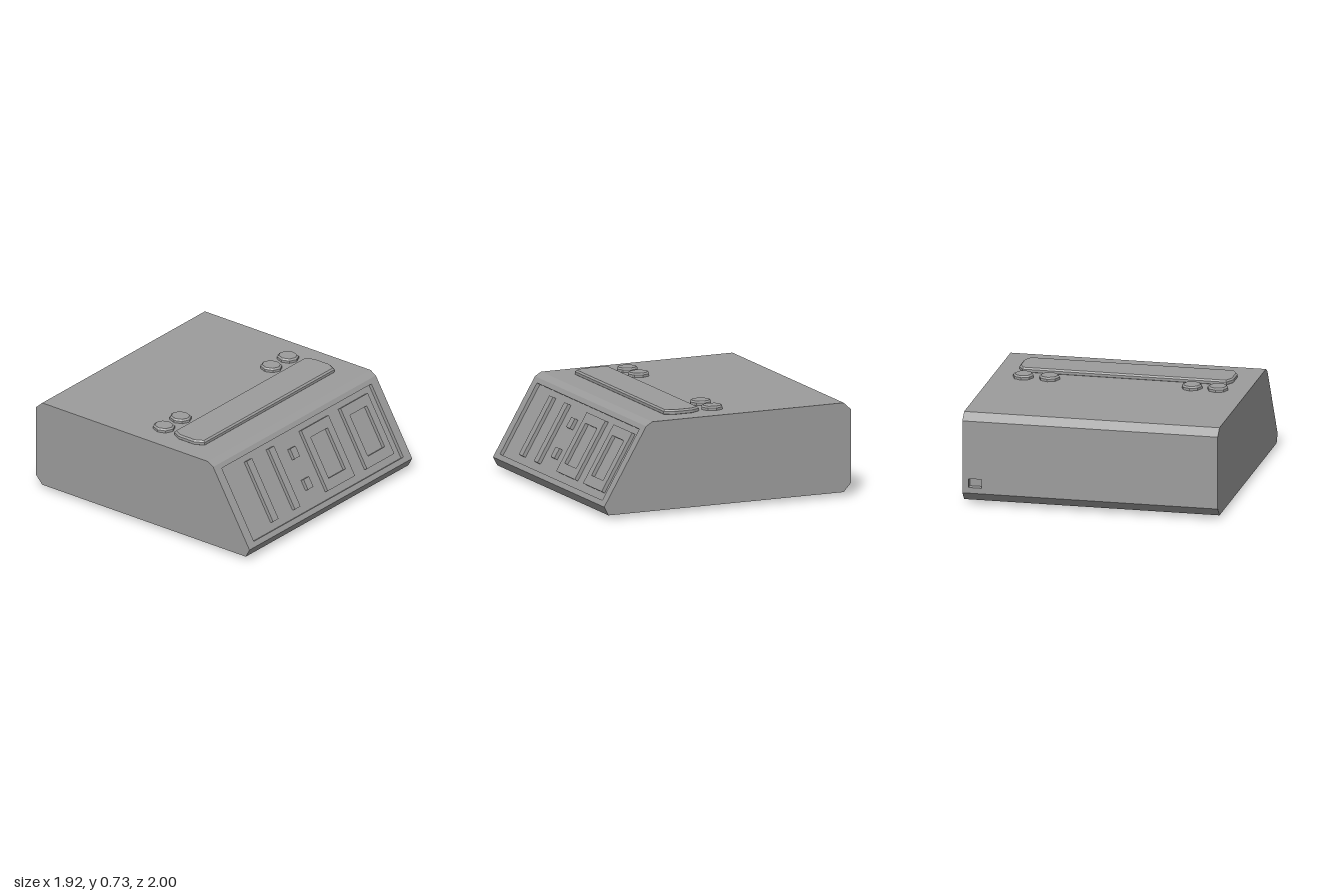
import * as THREE from 'three';

const material = new THREE.MeshStandardMaterial({ color: 0x9c9c9c, flatShading: true });
const WIDTH = 1.92;

function addMesh(parent, name, geometry, x = 0, y = 0, z = 0) {
  const mesh = new THREE.Mesh(geometry, material);
  mesh.name = name;
  mesh.position.set(x, y, z);
  parent.add(mesh);
  return mesh;
}

const polygon = (pts) => new THREE.Shape(pts.map(([x, y]) => new THREE.Vector2(x, y)));
const rectangle = ([x0, x1, y0, y1]) => polygon([[x0, y0], [x1, y0], [x1, y1], [x0, y1]]);

// Remove the faces that point along any of the given normals
function dropFaces(geometry, normals) {
  const source = geometry.index ? geometry.toNonIndexed() : geometry;
  const position = source.attributes.position;
  const kept = [];
  const tri = new THREE.Triangle(), n = new THREE.Vector3();
  for (let i = 0; i < position.count; i += 3) {
    tri.setFromAttributeAndIndices(position, i, i + 1, i + 2);
    tri.getNormal(n);
    if (!normals.some((d) => n.dot(d) > 0.99)) kept.push(tri.a.clone(), tri.b.clone(), tri.c.clone());
  }
  const result = new THREE.BufferGeometry().setFromPoints(kept);
  result.computeVertexNormals();
  return result;
}

// Open box whose faces point inwards
function pocketGeometry(w, h, depth) {
  const geometry = dropFaces(new THREE.BoxGeometry(w, h, depth), [new THREE.Vector3(0, 0, 1)]);
  const a = geometry.attributes.position, p = new THREE.Vector3(), q = new THREE.Vector3();
  for (let i = 0; i < a.count; i += 3) {
    p.fromBufferAttribute(a, i + 1);
    q.fromBufferAttribute(a, i + 2);
    a.setXYZ(i + 1, q.x, q.y, q.z);
    a.setXYZ(i + 2, p.x, p.y, p.z);
  }
  geometry.computeVertexNormals();
  return geometry;
}

// Flat face with a rectangular recess, facing local +z
function recessedPanel(name, w, h, hole, depth) {
  const group = new THREE.Group();
  group.name = name;
  const [x0, x1, y0, y1] = hole;
  const frame = rectangle([-w / 2, w / 2, -h / 2, h / 2]);
  frame.holes.push(rectangle(hole));
  addMesh(group, name + 'Frame', new THREE.ShapeGeometry(frame));
  addMesh(group, name + 'Recess', pocketGeometry(x1 - x0, y1 - y0, depth),
    (x0 + x1) / 2, (y0 + y1) / 2, -depth / 2);
  return group;
}

// Low raised pad with a bevelled top rim, outline in x and z
function padGeometry(points) {
  const geometry = new THREE.ExtrudeGeometry(polygon(points), {
    depth: 0.02, bevelThickness: 0.012, bevelSize: 0.012, bevelOffset: -0.012, bevelSegments: 1,
  });
  return geometry.rotateX(-Math.PI / 2);
}

export function createModel() {
  const model = new THREE.Group();
  model.name = 'deskClock';

  // Case: side profile (z, y) swept across the width, front and back left open
  const profile = [[1, 0.095], [0.66, 0.67], [0.61, 0.7], [-0.94, 0.7],
    [-1, 0.645], [-1, 0.095], [-0.94, 0.03], [0.965, 0.03]];
  const tilt = Math.atan2(0.34, 0.575);
  const sweep = new THREE.ExtrudeGeometry(polygon(profile), { depth: WIDTH, bevelEnabled: false });
  sweep.translate(0, 0, -WIDTH / 2).rotateY(-Math.PI / 2);
  addMesh(model, 'case', dropFaces(sweep, [
    new THREE.Vector3(0, Math.sin(tilt), Math.cos(tilt)), new THREE.Vector3(0, 0, -1)]));

  // Slanted display panel; v turns a height into a distance along the slope
  const depth = 0.028, midY = 0.3825;
  const v = (y) => (y - midY) / Math.cos(tilt);
  const display = recessedPanel('display', WIDTH, Math.hypot(0.34, 0.575),
    [-0.883, 0.883, v(0.13), v(0.637)], depth);
  display.position.set(0, midY, 0.83);
  display.rotation.x = -tilt;
  model.add(display);

  // Raised display segments: bars, separator dots and open frames
  function segment(name, x0, x1, y0, y1, hole) {
    const shape = rectangle([x0, x1, v(y0), v(y1)]);
    if (hole) shape.holes.push(rectangle([hole[0], hole[1], v(hole[2]), v(hole[3])]));
    addMesh(display, name, new THREE.ExtrudeGeometry(shape, { depth, bevelEnabled: false }), 0, 0, -depth);
  }
  for (const x of [-0.619, -0.36]) segment('displayBar', x, x + 0.064, 0.178, 0.597);
  for (const y of [0.247, 0.459]) segment('displayDot', -0.156, -0.092, y, y + 0.071);
  for (const x of [0.026, 0.489]) {
    segment('displayOpenFrame', x, x + 0.322, 0.178, 0.597, [x + 0.062, x + 0.26, 0.246, 0.53]);
  }

  // Back panel with the power socket
  const back = recessedPanel('backPanel', WIDTH, 0.55, [-0.915, -0.815, -0.232, -0.165], 0.05);
  back.position.set(0, 0.37, -1);
  back.rotation.y = Math.PI;
  model.add(back);

  // Long top button with clipped corners
  const w = 0.804, h = 0.142, cx = 0.037, cz = 0.07;
  addMesh(model, 'longTopButton', padGeometry([
    [-w, -h + cz], [-w + cx, -h], [w - cx, -h], [w, -h + cz],
    [w, h - cz], [w - cx, h], [-w + cx, h], [-w, h - cz]]), 0, 0.702, 0.285);

  // Eight-sided round buttons
  const octagon = Array.from({ length: 8 }, (_, i) =>
    [0.077 * Math.cos(i * Math.PI / 4), 0.083 * Math.sin(i * Math.PI / 4)]);
  for (const x of [-0.732, -0.537, 0.534, 0.73]) {
    addMesh(model, 'roundButton', padGeometry(octagon), x, 0.698, 0.0195);
  }

  // Square tapered feet
  for (const x of [-0.69, 0.69]) {
    for (const z of [-0.67, 0.695]) {
      const foot = new THREE.CylinderGeometry(0.083 * Math.SQRT2, 0.055 * Math.SQRT2, 0.03, 4);
      addMesh(model, 'foot', foot.rotateY(Math.PI / 4), x, 0.015, z);
    }
  }
  return model;
}
